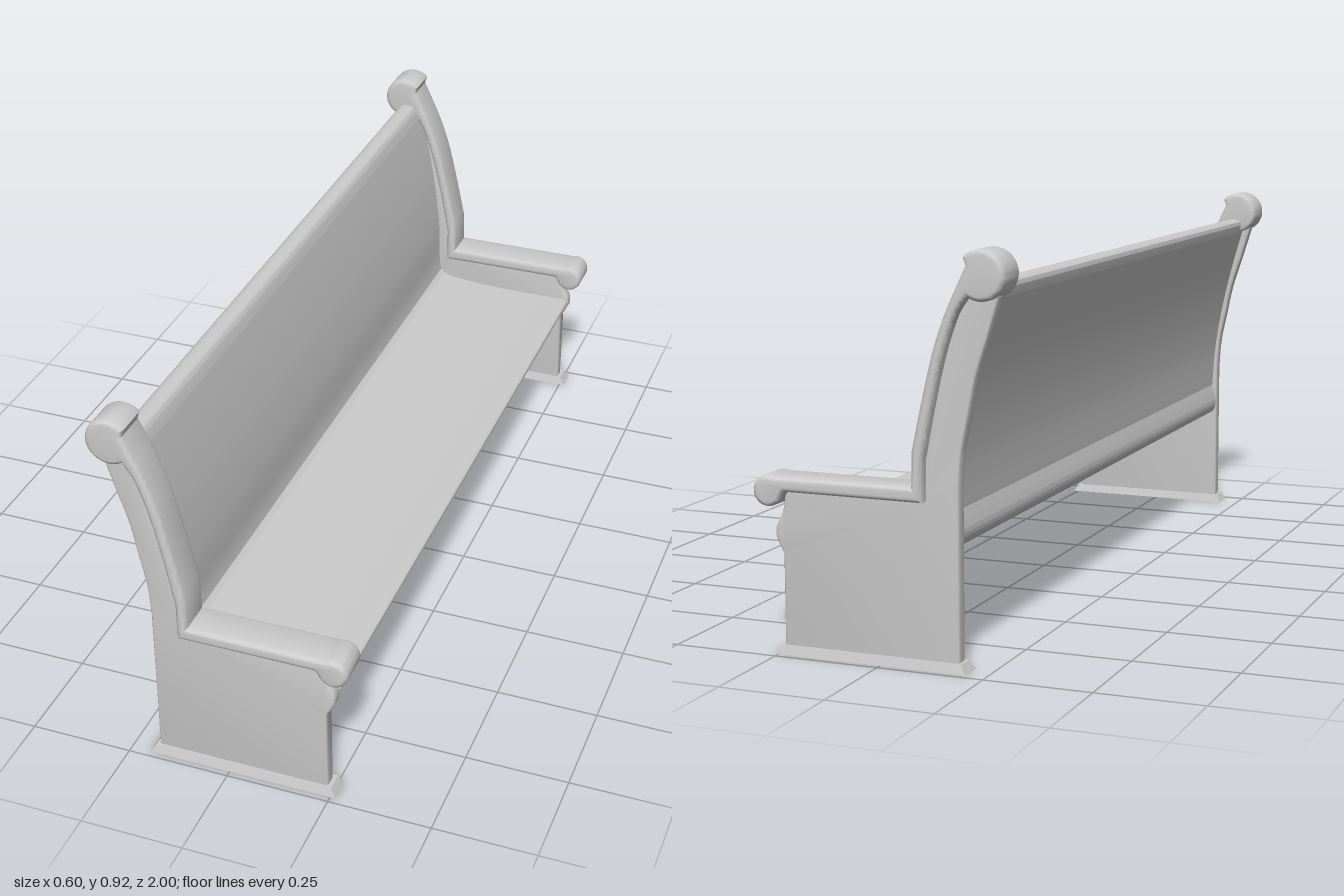
import * as THREE from 'three';
import { toCreasedNormals } from 'three/addons/utils/BufferGeometryUtils.js';

const material = new THREE.MeshStandardMaterial({ color: 0xcccccc });
const v = (pairs) => pairs.map(([x, y]) => new THREE.Vector2(x, y));
const rad = THREE.MathUtils.degToRad;

// Extrudes a side profile from z0 to z1, with rounded edges kept inside the outline
function extrudeProfile(shape, z0, z1, bevel) {
  const geo = new THREE.ExtrudeGeometry(shape, {
    depth: z1 - z0 - 2 * bevel,
    bevelEnabled: bevel > 0,
    bevelSize: bevel,
    bevelThickness: bevel,
    bevelOffset: -bevel,
    bevelSegments: 3,
    curveSegments: 16,
  });
  geo.translate(0, 0, z0 + bevel);
  return toCreasedNormals(geo, rad(40));
}

// Rail: scroll at the top, curved upright, armrest and knob
function railShape() {
  const s = new THREE.Shape();
  s.moveTo(-0.083, 0.405);
  s.lineTo(-0.085, 0.485);
  s.splineThru(v([[-0.108, 0.59], [-0.135, 0.7], [-0.165, 0.785], [-0.195, 0.85], [-0.212, 0.885]]));
  s.absarc(-0.245, 0.865, 0.055, rad(45), rad(290), false);
  s.lineTo(-0.215, 0.819);
  s.splineThru(v([[-0.187, 0.775], [-0.158, 0.69], [-0.132, 0.58], [-0.109, 0.465]]));
  s.lineTo(-0.108, 0.372);
  s.lineTo(0.222, 0.372);
  s.absarc(0.264, 0.372, 0.035, rad(195), rad(470), false);
  s.lineTo(0.235, 0.405);
  s.closePath();
  return s;
}

// Thin end board with a moulded front edge
function panelShape() {
  const s = new THREE.Shape();
  s.moveTo(-0.183, 0.01);
  s.lineTo(0.24, 0.01);
  s.lineTo(0.24, 0.228);
  s.splineThru(v([[0.257, 0.262], [0.257, 0.29], [0.242, 0.32], [0.236, 0.35]]));
  s.lineTo(0.236, 0.39);
  s.lineTo(-0.1, 0.39);
  s.lineTo(-0.1, 0.48);
  s.splineThru(v([[-0.125, 0.59], [-0.15, 0.69], [-0.18, 0.78], [-0.215, 0.84]]));
  s.lineTo(-0.278, 0.82);
  s.splineThru(v([[-0.25, 0.73], [-0.223, 0.645], [-0.205, 0.56], [-0.189, 0.48], [-0.183, 0.4]]));
  s.closePath();
  return s;
}

// Seat and backrest as one continuous bent profile
function seatShape() {
  const s = new THREE.Shape();
  s.moveTo(0.24, 0.262);
  s.splineThru(v([[0.255, 0.268], [0.256, 0.28], [0.242, 0.287]]));
  s.splineThru(v([[0.15, 0.287], [0.05, 0.288], [-0.05, 0.294], [-0.11, 0.303], [-0.135, 0.318]]));
  s.splineThru(v([[-0.14, 0.36], [-0.143, 0.46], [-0.157, 0.58], [-0.178, 0.7], [-0.202, 0.81]]));
  s.splineThru(v([[-0.215, 0.84], [-0.24, 0.847], [-0.259, 0.838], [-0.257, 0.815]]));
  s.splineThru(v([[-0.222, 0.69], [-0.195, 0.57], [-0.178, 0.46], [-0.17, 0.35]]));
  s.splineThru(v([[-0.177, 0.325], [-0.181, 0.3], [-0.174, 0.275], [-0.155, 0.265]]));
  s.lineTo(0.24, 0.262);
  return s;
}

// Foot plinth: a box narrowed at the top
function plinthGeometry() {
  const geo = new THREE.BoxGeometry(0.465, 0.02, 0.06);
  const pos = geo.attributes.position;
  for (let i = 0; i < pos.count; i++) {
    if (pos.getY(i) > 0) {
      pos.setX(i, pos.getX(i) * 0.945);
      pos.setZ(i, pos.getZ(i) * 0.8);
    }
  }
  geo.translate(0.03, 0.01, 0.955);
  geo.computeVertexNormals();
  return geo;
}

export function createModel() {
  const model = new THREE.Group();
  model.name = 'bench';

  const add = (parent, geo, name) => {
    const mesh = new THREE.Mesh(geo, material);
    mesh.name = name;
    parent.add(mesh);
  };

  add(model, extrudeProfile(seatShape(), -0.945, 0.945, 0), 'seatAndBackrest');

  // Two matching ends, mirrored across the middle
  for (const side of [1, -1]) {
    const end = new THREE.Group();
    end.name = side > 0 ? 'frontEnd' : 'rearEnd';
    const place = (z0, z1) => (side > 0 ? [z0, z1] : [-z1, -z0]);
    add(end, extrudeProfile(panelShape(), ...place(0.937, 0.971), 0.006), 'endPanel');
    add(end, extrudeProfile(railShape(), ...place(0.905, 1), 0.01), 'scrollArmRail');
    const plinth = plinthGeometry();
    if (side < 0) plinth.translate(0, 0, -1.91);
    add(end, plinth, 'plinth');
    model.add(end);
  }
  return model;
}
